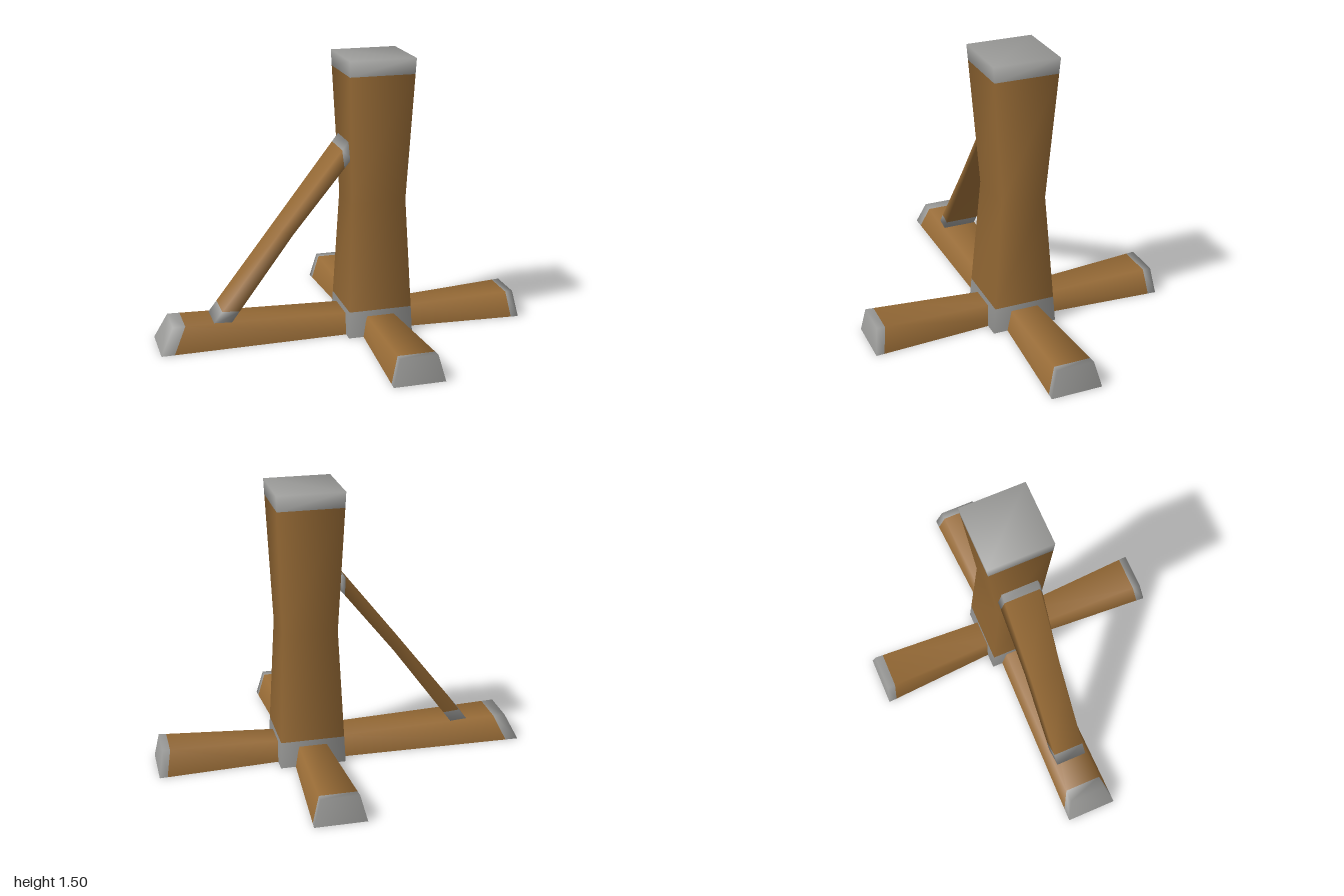
import * as THREE from 'three';

const wood = new THREE.MeshStandardMaterial({ color: 0x966a35, side: THREE.DoubleSide });
wood.name = 'wood';
const stone = new THREE.MeshStandardMaterial({ color: 0x999997, side: THREE.DoubleSide });
stone.name = 'paleEnds';

const WOOD = 0, STONE = 1;

// Blend between two four-cornered sections, for placing a colour edge
function blend(a, b, t) {
  return a.map((p, i) => p.map((v, k) => v + (b[i][k] - v) * t));
}

// Smooth four-sided beam lofted through sections; colours has one entry per span.
// Corners run counter-clockwise seen from the far end; side 3 may be left open.
function beam(name, sections, colours, { sides = 4, startCap = true, endCap = true } = {}) {
  const index = [[], []];
  const quad = (m, a, b, c, d) => index[m].push(a, b, c, a, c, d);
  colours.forEach((m, i) => {
    for (let j = 0; j < sides; j++) {
      const k = (j + 1) % 4;
      quad(m, i * 4 + j, i * 4 + k, i * 4 + 4 + k, i * 4 + 4 + j);
    }
  });
  const last = (sections.length - 1) * 4;
  if (startCap) quad(STONE, 3, 2, 1, 0);
  if (endCap) quad(STONE, last, last + 1, last + 2, last + 3);

  const g = new THREE.BufferGeometry();
  g.setAttribute('position', new THREE.Float32BufferAttribute(sections.flat(2), 3));
  g.setIndex([...index[WOOD], ...index[STONE]]);
  g.addGroup(0, index[WOOD].length, WOOD);
  g.addGroup(index[WOOD].length, index[STONE].length, STONE);
  g.computeVertexNormals();
  const mesh = new THREE.Mesh(g, [wood, stone]);
  mesh.name = name;
  return mesh;
}

export function createModel() {
  const model = new THREE.Group();
  model.name = 'woodenPostStand';
  const cx = 0.18;

  // Upright post with a narrow waist
  const ring = (y, hx, hz) => [[cx + hx, y, hz], [cx + hx, y, -hz], [cx - hx, y, -hz], [cx - hx, y, hz]];
  const foot = ring(0, 0.178, 0.178), waist = ring(0.74, 0.148, 0.12), top = ring(1.505, 0.178, 0.178);
  model.add(beam('post',
    [foot, blend(foot, waist, 0.195), waist, blend(waist, top, 0.89), top],
    [STONE, WOOD, WOOD, STONE], { startCap: false }));

  // Ground beams: tapered channels, open underneath, with slanted ends
  const alongX = (low, high, h, wLow, wHigh) =>
    [[low, 0, -wLow], [high, h, -wHigh], [high, h, wHigh], [low, 0, wLow]];
  const alongZ = (low, high, h, wLow, wHigh) =>
    [[cx + wLow, 0, low], [cx + wHigh, h, high], [cx - wHigh, h, high], [cx - wLow, 0, low]];

  const xEnds = [
    alongX(-1, -0.93, 0.14, 0.137, 0.1), alongX(0, 0, 0.113, 0.12, 0.09),
    alongX(0.36, 0.36, 0.113, 0.1, 0.075), alongX(1, 0.975, 0.14, 0.137, 0.1),
  ];
  model.add(beam('longGroundBeam',
    [xEnds[0], blend(xEnds[0], xEnds[1], 0.07), xEnds[1], xEnds[2], blend(xEnds[3], xEnds[2], 0.065), xEnds[3]],
    [STONE, WOOD, WOOD, WOOD, STONE], { sides: 3 }));

  const zEnds = [
    alongZ(-0.815, -0.795, 0.14, 0.137, 0.1), alongZ(0, 0, 0.106, 0.086, 0.068),
    alongZ(0.815, 0.795, 0.14, 0.137, 0.1),
  ];
  model.add(beam('crossGroundBeam',
    [zEnds[0], blend(zEnds[0], zEnds[1], 0.055), zEnds[1], blend(zEnds[2], zEnds[1], 0.055), zEnds[2]],
    [STONE, WOOD, WOOD, STONE], { sides: 3 }));

  // Diagonal brace from the long beam up to the post
  const slice = (ax, ay, wa, bx, by, wb) => [[bx, by, -wb], [ax, ay, -wa], [ax, ay, wa], [bx, by, wb]];
  const low = slice(-0.722, 0.118, 0.085, -0.625, 0.118, 0.092);
  const mid = slice(-0.34, 0.612, 0.085, -0.28, 0.59, 0.1);
  const high = slice(0.03, 1.082, 0.1, 0.03, 0.98, 0.12);
  model.add(beam('diagonalBrace',
    [low, blend(low, mid, 0.15), mid, blend(mid, high, 0.88), high],
    [STONE, WOOD, WOOD, STONE]));

  return model;
}
